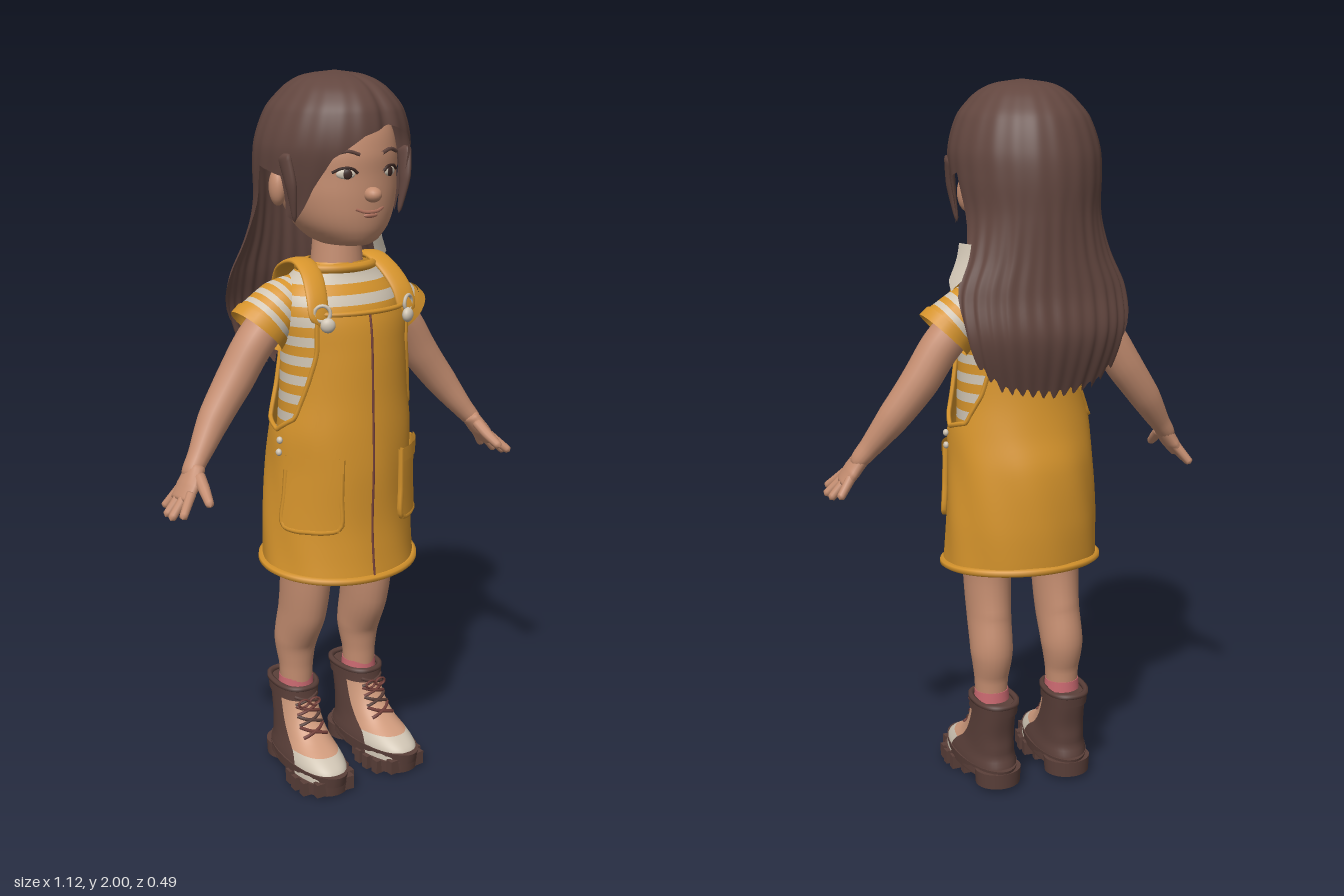
import * as THREE from 'three';

const V = (x, y, z) => new THREE.Vector3(x, y, z);
const D = Math.PI / 180;
const mat = (name, color) => Object.assign(new THREE.MeshStandardMaterial({ color, side: THREE.DoubleSide }), { name });
const M = {
  hair: mat('brown hair', 0x62463f), skin: mat('skin', 0xc48d70), mustard: mat('mustard cloth', 0xd6942c),
  cream: mat('cream', 0xcfc4b3), tan: mat('tan leather', 0xcf9a7c), boot: mat('dark boot leather', 0x5a3f39),
  sock: mat('pink sock', 0xc8686f), lace: mat('dark red lace', 0x74403a), eye: mat('eye brown', 0x3c2824),
  lip: mat('lip', 0xb2735f),
};

// Piecewise-linear lookup in a table of [key, value] pairs
function table(t, k) {
  let i = 0;
  while (i < t.length - 2 && k > t[i + 1][0]) i++;
  const u = Math.min(1, Math.max(0, (k - t[i][0]) / (t[i + 1][0] - t[i][0])));
  return t[i][1] + (t[i + 1][1] - t[i][1]) * u;
}

// Smooth lookup in cross-sections [y, halfWidth, zFront, zBack] listed from top to bottom
function rowAt(rows, y) {
  const n = rows.length - 1;
  y = Math.min(rows[0][0], Math.max(rows[n][0], y));
  let i = 0;
  while (i < n - 1 && y < rows[i + 1][0]) i++;
  const a = rows[i], b = rows[i + 1], h = b[0] - a[0], u = (y - a[0]) / h;
  const slope = (k, c) => {
    const p = rows[Math.max(k - 1, 0)], q = rows[Math.min(k + 1, n)];
    return (q[c] - p[c]) / (q[0] - p[0]);
  };
  return [1, 2, 3].map(c => a[c] * (1 + 2 * u) * (1 - u) ** 2 + b[c] * u * u * (3 - 2 * u)
    + h * (slope(i, c) * u * (1 - u) ** 2 + slope(i + 1, c) * u * u * (u - 1)));
}

// Point on a body of cross-sections; angle 0 is the front, 90 is +x
function surf(rows, deg, y, off = 0, p = 1, k = 1) {
  const [rx, zf, zb] = rowAt(rows, y), s = Math.sin(deg * D), c = Math.cos(deg * D);
  const pw = v => Math.sign(v) * Math.abs(v) ** p;
  return V((rx + off) * k * pw(s), y, (zf + zb) / 2 + ((zf - zb) / 2 + off) * k * pw(c));
}

function grid(nu, nv, fn, closed, matOf) {
  const pos = [], idx = [], g = new THREE.BufferGeometry(), w = closed ? nu : nu + 1;
  for (let j = 0; j <= nv; j++) for (let i = 0; i < w; i++) pos.push(...fn(i / nu, j / nv).toArray());
  for (let j = 0; j < nv; j++) {
    if (matOf) g.addGroup(idx.length, nu * 6, matOf(j));
    for (let i = 0; i < nu; i++) {
      const a = j * w + i, b = j * w + (i + 1) % w, c = a + w, d = b + w;
      idx.push(a, c, b, b, c, d);
    }
  }
  g.setAttribute('position', new THREE.Float32BufferAttribute(pos, 3));
  g.setIndex(idx);
  g.computeVertexNormals();
  return g;
}

// Skin over cross-sections with top and bottom edges that vary with the angle
function shell(rows, top, bottom, { from = -180, to = 180, nu = 48, nv = 24, off = 0, p = 1, ease = 1, mod, matOf } = {}) {
  const f = e => typeof e === 'function' ? e : () => e, T = f(top), B = f(bottom);
  return grid(nu, nv, (u, v) => {
    const a = from + (to - from) * u, y = T(a) + (B(a) - T(a)) * v ** ease;
    return surf(rows, a, y, off, p, mod ? mod(a, y) : 1);
  }, to - from === 360, matOf);
}

// Elliptical limb along points [x, y, z, radius along side, other radius]
function sweep(pts, side, { round = true, nu = 16, nv = 20, matOf } = {}) {
  const curve = new THREE.CatmullRomCurve3(pts.map(p => V(p[0], p[1], p[2]))), n = pts.length - 1;
  return grid(nu, nv, (u, v) => {
    const P = curve.getPoint(v), T = curve.getTangent(v);
    const S = side.clone().addScaledVector(T, -T.dot(side)).normalize(), N = T.clone().cross(S);
    const i = Math.min(n - 1, Math.floor(v * n)), k = v * n - i, r = c => pts[i][c] + (pts[i + 1][c] - pts[i][c]) * k;
    const e = Math.max(0, Math.abs(2 * v - 1) - 0.75) / 0.25, f = round ? Math.sqrt(Math.max(0, 1 - e ** 3)) : 1;
    return P.addScaledVector(S, Math.cos(u * 2 * Math.PI) * r(3) * f).addScaledVector(N, Math.sin(u * 2 * Math.PI) * r(4) * f);
  }, true, matOf);
}

const cord = (pts, r, closed = false) =>
  new THREE.TubeGeometry(new THREE.CatmullRomCurve3(pts, closed), pts.length * 4, r, 6, closed);
const arc = (n, fn) => Array.from({ length: n + 1 }, (_, i) => fn(i / n));

const HEAD = [[1.955, 0, 0.02, 0.02], [1.93, 0.09, 0.11, -0.09], [1.87, 0.14, 0.17, -0.13], [1.8, 0.157, 0.193, -0.14],
  [1.74, 0.158, 0.194, -0.14], [1.68, 0.153, 0.195, -0.13], [1.62, 0.132, 0.19, -0.1], [1.58, 0.1, 0.177, -0.07],
  [1.555, 0.06, 0.15, -0.02], [1.545, 0, 0.08, 0.08]];
const HAIR = [[2, 0, 0.02, 0.02], [1.99, 0.07, 0.09, -0.06], [1.97, 0.115, 0.145, -0.11], [1.94, 0.148, 0.185, -0.148],
  [1.9, 0.178, 0.212, -0.182], [1.82, 0.203, 0.224, -0.212], [1.75, 0.203, 0.21, -0.222], [1.65, 0.196, 0.17, -0.222],
  [1.55, 0.215, 0.1, -0.222], [1.45, 0.256, 0.06, -0.228], [1.33, 0.25, 0, -0.243], [1.15, 0.185, -0.03, -0.19]];
const HAIR_EDGE = [[0, 1.87], [25, 1.845], [45, 1.79], [55, 1.71], [62, 1.62], [70, 1.64], [76, 1.74], [96, 1.76],
  [104, 1.62], [112, 1.42], [122, 1.26], [140, 1.2], [180, 1.18]];
const SHIRT = [[1.505, 0.085, 0.1, -0.045], [1.47, 0.13, 0.112, -0.07], [1.43, 0.17, 0.14, -0.09], [1.38, 0.183, 0.165, -0.095],
  [1.28, 0.174, 0.185, -0.09], [1.15, 0.178, 0.19, -0.095], [1, 0.185, 0.19, -0.11]];
const DRESS = [[1.43, 0.18, 0.17, -0.112], [1.38, 0.196, 0.198, -0.11], [1.28, 0.187, 0.21, -0.105], [1.15, 0.191, 0.215, -0.11],
  [1.05, 0.205, 0.22, -0.125], [0.95, 0.208, 0.222, -0.15], [0.8, 0.217, 0.218, -0.16], [0.7, 0.221, 0.225, -0.158],
  [0.63, 0.225, 0.234, -0.153]];
const DRESS_TOP = [[0, 1.385], [44, 1.385], [50, 1.28], [58, 1.2], [70, 1.1], [90, 1.06], [115, 1.08], [130, 1.16],
  [145, 1.3], [155, 1.4], [180, 1.42]];
const BOOT = [[0.265, 0.058, 0.05, -0.12], [0.22, 0.057, 0.055, -0.112], [0.16, 0.06, 0.085, -0.1], [0.12, 0.064, 0.135, -0.1],
  [0.095, 0.07, 0.19, -0.1], [0.07, 0.076, 0.224, -0.11], [0.03, 0.078, 0.235, -0.115]];

export function createModel() {
  const model = new THREE.Group();
  model.name = 'girl';
  const add = (parent, name, geo, material) => {
    const m = new THREE.Mesh(geo, material);
    m.name = name;
    parent.add(m);
    return m;
  };
  const blob = (parent, name, material, c, r, yaw = 0) => {
    const m = add(parent, name, new THREE.SphereGeometry(1, 20, 14), material);
    m.position.set(...c);
    m.scale.set(...r);
    m.rotation.y = yaw;
  };
  const X = V(1, 0, 0), Z = V(0, 0, 1), striped = [M.mustard, M.cream];

  // Head
  add(model, 'head', shell(HEAD, 1.955, 1.545, { nu: 40, nv: 36 }), M.skin);
  add(model, 'neck', new THREE.CylinderGeometry(0.062, 0.075, 0.14, 24).translate(0, 1.53, 0.03), M.skin);
  blob(model, 'nose', M.skin, [0, 1.694, 0.2], [0.023, 0.02, 0.026]);
  add(model, 'mouth', cord([V(-0.042, 1.658, 0.184), V(-0.02, 1.65, 0.191), V(0, 1.649, 0.194), V(0.02, 1.65, 0.191), V(0.042, 1.658, 0.184)], 0.005), M.lip);
  blob(model, 'lowerLip', M.lip, [0, 1.64, 0.19], [0.022, 0.007, 0.007]);

  // Hair: swept fringe, open face, long strands at the back
  const hairEdge = a => {
    const d = Math.abs(a - 14 * Math.max(0, Math.cos(a * D)));
    return table(HAIR_EDGE, d) + (d > 115 ? 0.012 * Math.sin(a * D * 41) : 0);
  };
  const strands = (a, y) => 1 + 0.014 * Math.sin(a * D * 34) * Math.min(1, Math.max(0, (1.72 - y) / 0.3))
    + 0.005 * Math.sin(a * D * 22) - (y > 1.84 ? 0.06 * Math.exp(-(((a - 9) / 7) ** 2)) : 0);
  add(model, 'hair', shell(HAIR, 2, hairEdge, { nu: 240, nv: 60, ease: 1.4, mod: strands }), M.hair);
  add(model, 'hairLining', shell(HAIR, 1.58, a => 1.46 + 0.003 * Math.abs(a - 104), { from: 95, to: 113, nu: 8, nv: 10, off: 0.005 }), M.cream);

  // Striped shirt and pinafore dress
  add(model, 'shirt', shell(SHIRT, 1.505, 1, { nv: 38, matOf: j => Math.floor(j / 2) % 2 }), striped);
  add(model, 'collar', cord(arc(23, t => surf(SHIRT, t * 345, 1.49, 0.003)), 0.013, true), M.mustard);
  const dressTop = a => table(DRESS_TOP, Math.abs(a)), hem = a => 0.65 - 0.013 * Math.cos(a * D);
  const folds = (a, y) => 1 + 0.008 * Math.sin(a * D * 9 + y * 14) * Math.min(1, Math.max(0, (1.1 - y) / 0.2));
  add(model, 'dress', shell(DRESS, dressTop, hem, { nu: 144, nv: 40, mod: folds }), M.mustard);
  add(model, 'hem', cord(arc(47, t => surf(DRESS, t * 352.5, hem(t * 352.5) + 0.008, 0.001)), 0.011, true), M.mustard);
  add(model, 'dressEdge', cord(arc(71, t => surf(DRESS, t * 355, dressTop(t * 355 > 180 ? t * 355 - 360 : t * 355), 0)), 0.007, true), M.mustard);
  add(model, 'frontSeam', cord(arc(16, t => surf(DRESS, -1.5, 1.38 - t * 0.73, 0.002)), 0.0035), M.lace);

  const buildSide = () => {
    const g = new THREE.Group();
    // Face details
    blob(g, 'eyeWhite', M.cream, [0.068, 1.748, 0.176], [0.025, 0.013, 0.007], 0.46);
    blob(g, 'iris', M.eye, [0.066, 1.748, 0.181], [0.013, 0.013, 0.005], 0.46);
    add(g, 'lashes', cord([V(0.04, 1.75, 0.19), V(0.055, 1.762, 0.187), V(0.08, 1.763, 0.176), V(0.1, 1.752, 0.16)], 0.004), M.eye);
    add(g, 'eyebrow', cord([V(0.035, 1.797, 0.191), V(0.065, 1.806, 0.182), V(0.1, 1.797, 0.162)], 0.005), M.hair);
    blob(g, 'ear', M.skin, [0.165, 1.705, 0], [0.024, 0.05, 0.032], 0.3);
    add(g, 'sideLock', sweep([[0.19, 1.8, 0.07, 0.03, 0.012], [0.18, 1.72, 0.09, 0.022, 0.012], [0.165, 1.62, 0.085, 0.005, 0.005]], Z), M.hair);

    // Sleeve and arm
    add(g, 'sleeve', sweep([[0.09, 1.425, 0, 0.06, 0.05], [0.155, 1.39, 0, 0.075, 0.073], [0.225, 1.337, 0, 0.078, 0.08]], Z,
      { round: false, nu: 24, matOf: j => Math.floor(j / 2 + 1) % 2 }), striped);
    add(g, 'sleeveHem', sweep([[0.215, 1.348, 0, 0.08, 0.082], [0.237, 1.325, 0, 0.082, 0.085]], Z, { round: false, nu: 24, nv: 3 }), M.mustard);
    add(g, 'arm', sweep([[0.15, 1.39, 0, 0.055, 0.055], [0.24, 1.3, 0, 0.056, 0.055], [0.307, 1.2, 0, 0.052, 0.053], [0.378, 1.105, 0.012, 0.044, 0.045],
      [0.44, 1.02, 0.038, 0.032, 0.03], [0.485, 0.965, 0.055, 0.03, 0.022]], Z, { nv: 36 }), M.skin);
    add(g, 'palm', sweep([[0.45, 1.005, 0.048, 0.03, 0.024], [0.485, 0.955, 0.062, 0.046, 0.022], [0.515, 0.915, 0.068, 0.046, 0.016]], Z), M.skin);
    [[0.535, 0.888, 0.012], [0.552, 0.878, 0.056], [0.557, 0.88, 0.096], [0.543, 0.893, 0.138]].forEach((tip, i) =>
      add(g, 'finger', sweep([[0.495, 0.942, 0.034 + i * 0.021, 0.014, 0.015], [...tip, 0.011, 0.011]], Z, { nu: 10, nv: 14 }), M.skin));
    add(g, 'thumb', sweep([[0.462, 0.985, 0.075, 0.018, 0.016], [0.468, 0.955, 0.12, 0.016, 0.015], [0.478, 0.925, 0.172, 0.011, 0.011]], X, { nu: 10 }), M.skin);

    // Strap, buckle, pocket and side buttons
    add(g, 'strap', sweep([[0.143, 1.36, 0.168, 0.032, 0.009], [0.135, 1.43, 0.142, 0.032, 0.009], [0.12, 1.485, 0.09, 0.032, 0.01],
      [0.113, 1.508, 0.03, 0.032, 0.01], [0.11, 1.48, -0.055, 0.032, 0.01], [0.1, 1.4, -0.108, 0.032, 0.01]], X, { nv: 36 }), M.mustard);
    blob(g, 'buckle', M.cream, [0.128, 1.362, 0.185], [0.02, 0.02, 0.014], 0.5);
    add(g, 'buckleLoop', new THREE.TorusGeometry(0.021, 0.005, 6, 20).rotateY(0.5).translate(0.137, 1.392, 0.172), M.cream);
    add(g, 'pocket', shell(DRESS, 0.995, 0.79, { from: 27, to: 72, nu: 16, nv: 10, off: 0.012 }), M.mustard);
    add(g, 'pocketFlap', shell(DRESS, 1, 0.96, { from: 26, to: 73, nu: 16, nv: 4, off: 0.017 }), M.mustard);
    const rim = [[27, 0.995], [27, 0.89], [27, 0.8], [38, 0.79], [50, 0.79], [62, 0.79], [72, 0.8], [72, 0.89], [72, 0.995]];
    add(g, 'pocketRim', cord(rim.map(([a, y]) => surf(DRESS, a, y, 0.006)), 0.009), M.mustard);
    for (const y of [1.0, 1.035]) blob(g, 'sideButton', M.cream, surf(DRESS, 82, y, 0.006).toArray(), [0.008, 0.01, 0.01]);

    // Leg and sock
    add(g, 'leg', sweep([[0.1, 0.9, 0.02, 0.085, 0.1], [0.103, 0.74, 0.03, 0.075, 0.097], [0.105, 0.61, 0.03, 0.066, 0.089], [0.106, 0.5, 0.013, 0.062, 0.084],
      [0.109, 0.4, -0.018, 0.061, 0.067], [0.11, 0.32, -0.016, 0.049, 0.05], [0.11, 0.24, -0.015, 0.045, 0.047]], X, { round: false, nu: 24, nv: 40 }), M.skin);
    add(g, 'sock', new THREE.CylinderGeometry(0.049, 0.054, 0.06, 24).translate(0.11, 0.255, -0.017), M.sock);

    // Boot
    const b = new THREE.Group();
    b.name = 'boot';
    b.position.x = 0.112;
    b.rotation.y = 0.06;
    g.add(b);
    const p = 0.85;
    add(b, 'bootHeel', shell(BOOT, 0.265, 0.04, { from: 75, to: 285, nu: 30, nv: 20, p }), M.boot);
    add(b, 'bootCuff', shell(BOOT, 0.267, 0.228, { nu: 36, nv: 4, off: 0.005, p }), M.boot);
    add(b, 'bootFront', shell(BOOT, 0.265, 0.1, { from: -75, to: 75, nu: 30, nv: 18, p }), M.tan);
    add(b, 'toeCap', shell(BOOT, 0.1, 0.04, { from: -75, to: 75, nu: 30, nv: 12, p }), M.cream);
    add(b, 'bootRim', cord(arc(23, t => surf(BOOT, t * 345, 0.262, 0, p)), 0.009, true), M.boot);
    add(b, 'bootLining', new THREE.CylinderGeometry(1, 1, 0.01, 24).scale(0.056, 1, 0.083).translate(0, 0.25, -0.035), M.boot);
    [0.135, 0.162, 0.189, 0.216].forEach((y, i) => {
      for (const s of [-1, 1])
        add(b, 'lace', cord(arc(6, t => surf(BOOT, s * (t * 64 - 32), y + t * 0.024, 0.004, p)), 0.005), i % 2 ? M.boot : M.lace);
    });
    for (const s of [-1, 1])
      add(b, 'bow', new THREE.TorusGeometry(0.016, 0.004, 6, 16).scale(1, 0.7, 1).translate(s * 0.018, 0.225, 0.067), M.lace);

    // Sole with heel, front pad and treads
    const pad = (name, r, h, y, z, l) => add(b, name, new THREE.CylinderGeometry(1, 0.96, h, 32).scale(r, 1, l).translate(0, y, z), M.boot);
    pad('sole', 0.081, 0.032, 0.05, 0.06, 0.186);
    pad('frontPad', 0.078, 0.035, 0.022, 0.135, 0.098);
    pad('heelPad', 0.068, 0.045, 0.035, -0.062, 0.064);
    for (let i = 0; i < 5; i++) for (const s of [-1, 1]) {
      const tread = add(b, 'tread', new THREE.BoxGeometry(0.03, 0.04, 0.024), M.boot);
      tread.position.set(s * [0.05, 0.07, 0.074, 0.068, 0.045][i], 0.02 + (i === 4 ? 0.008 : 0), 0.05 + i * 0.04);
    }
    return g;
  };

  const left = buildSide(), right = buildSide();
  left.name = 'leftSide';
  right.name = 'rightSide';
  right.scale.x = -1;
  model.add(left, right);
  return model;
}
